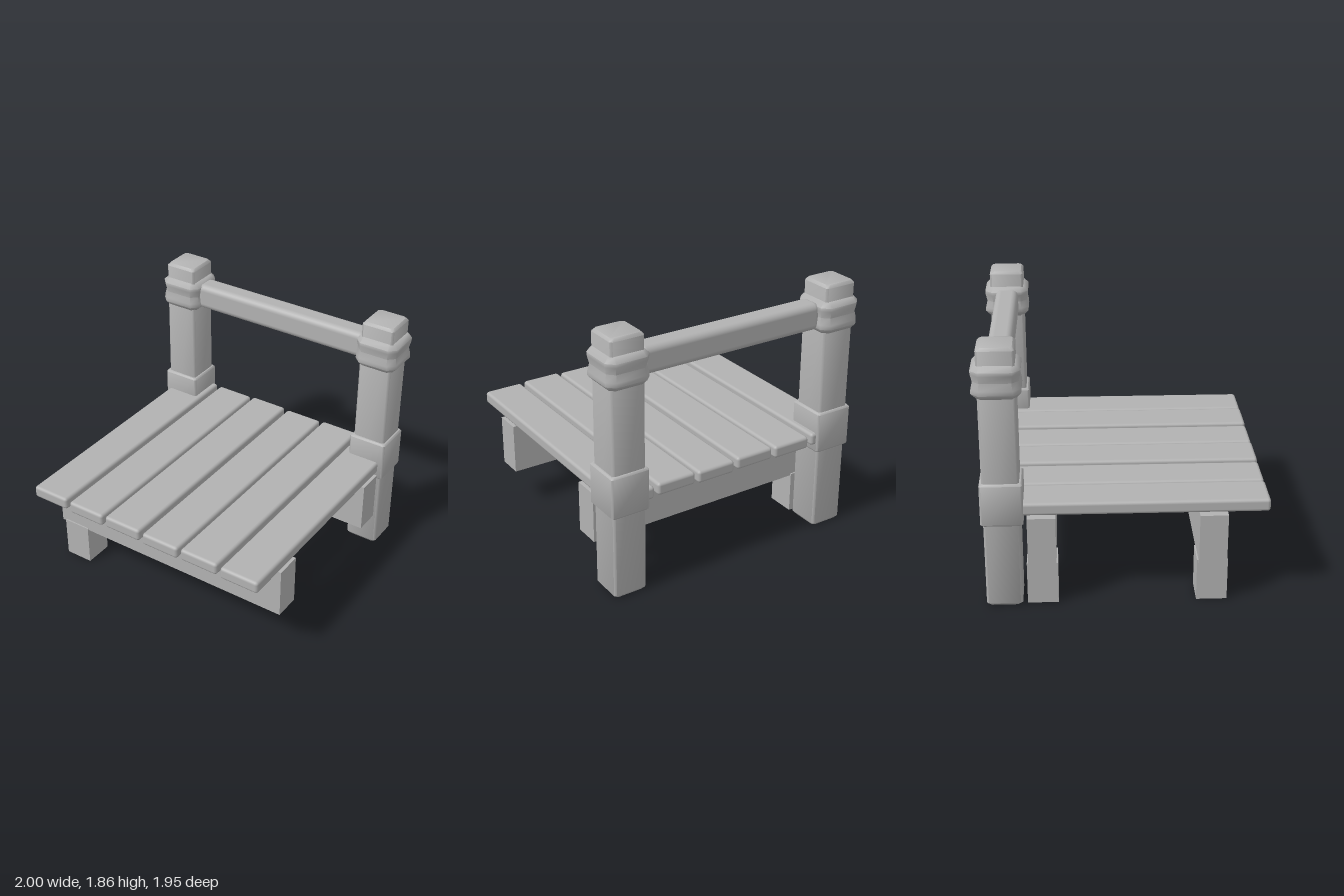
import * as THREE from 'three';
import { toCreasedNormals } from 'three/addons/utils/BufferGeometryUtils.js';
import { RoundedBoxGeometry } from 'three/addons/geometries/RoundedBoxGeometry.js';

// Stack of square rings with cut corners; rings are [y, halfWidth, cornerCut]
function loft(rings, { top = true, bottom = true } = {}) {
  const pos = [], index = [];
  for (const [y, h, c] of rings) {
    const k = h - c;
    for (const [x, z] of [[h, -k], [h, k], [k, h], [-k, h], [-h, k], [-h, -k], [-k, -h], [k, -h]]) pos.push(x, y, z);
  }
  for (let i = 0; i < rings.length - 1; i++) {
    for (let j = 0; j < 8; j++) {
      const a = i * 8 + j, b = i * 8 + (j + 1) % 8;
      index.push(a, a + 8, b, b, a + 8, b + 8);
    }
  }
  const last = (rings.length - 1) * 8;
  for (let j = 1; j < 7; j++) {
    if (top) index.push(last, last + j + 1, last + j);
    if (bottom) index.push(0, j, j + 1);
  }
  const geo = new THREE.BufferGeometry();
  geo.setAttribute('position', new THREE.Float32BufferAttribute(pos, 3));
  geo.setIndex(index);
  return toCreasedNormals(geo, 0.85);
}

export function createModel() {
  const model = new THREE.Group();
  model.name = 'plankPlatform';
  const grey = new THREE.MeshStandardMaterial({ color: 0xb2b2b2, side: THREE.DoubleSide });
  grey.name = 'plainGrey';

  const add = (name, geo, x, y, z) => {
    const mesh = new THREE.Mesh(geo, grey);
    mesh.name = name;
    mesh.position.set(x, y, z);
    model.add(mesh);
    return mesh;
  };

  // Deck planks, alternating slightly in height
  for (let i = 0; i < 6; i++) {
    const y = i % 2 ? 0.712 : 0.72;
    add('plank' + (i + 1), new RoundedBoxGeometry(0.293, 0.09, 1.905, 2, 0.022), -0.806 + i * 0.319, y, 0.018);
  }

  // Cross beams, each with one short foot at the right end
  for (const [side, z] of [['front', 0.595], ['back', -0.555]]) {
    add(side + 'Beam', new THREE.BoxGeometry(1.91, 0.37, 0.19), -0.01, 0.475, z);
    add(side + 'Foot', loft([[0, 0.105, 0], [0.305, 0.105, 0]], { bottom: false }), -0.825, 0, z);
  }

  // Tall posts with a collar at deck level and a bulging wrap near the top
  const postGeo = loft([[0, 0.108, 0.02], [0.02, 0.123, 0.015], [1.835, 0.123, 0.015], [1.855, 0.108, 0.02]], { bottom: false });
  const collarGeo = loft([[0.615, 0.132, 0.015], [0.627, 0.142, 0.012], [0.908, 0.142, 0.012], [0.92, 0.132, 0.015]]);
  const wrapGeo = loft([
    [1.515, 0.128, 0.03], [1.55, 0.16, 0.05], [1.58, 0.158, 0.05], [1.63, 0.147, 0.045],
    [1.68, 0.158, 0.05], [1.705, 0.16, 0.05], [1.74, 0.128, 0.03],
  ]);
  for (const [side, x] of [['right', -0.84], ['left', 0.835]]) {
    add(side + 'Post', postGeo, x, 0, -0.814);
    add(side + 'Collar', collarGeo, x, 0, -0.812);
    add(side + 'Wrap', wrapGeo, x, 0, -0.816);
  }

  // Rail between the posts
  add('rail', new RoundedBoxGeometry(1.42, 0.193, 0.166, 3, 0.045), 0, 1.628, -0.812);
  return model;
}
